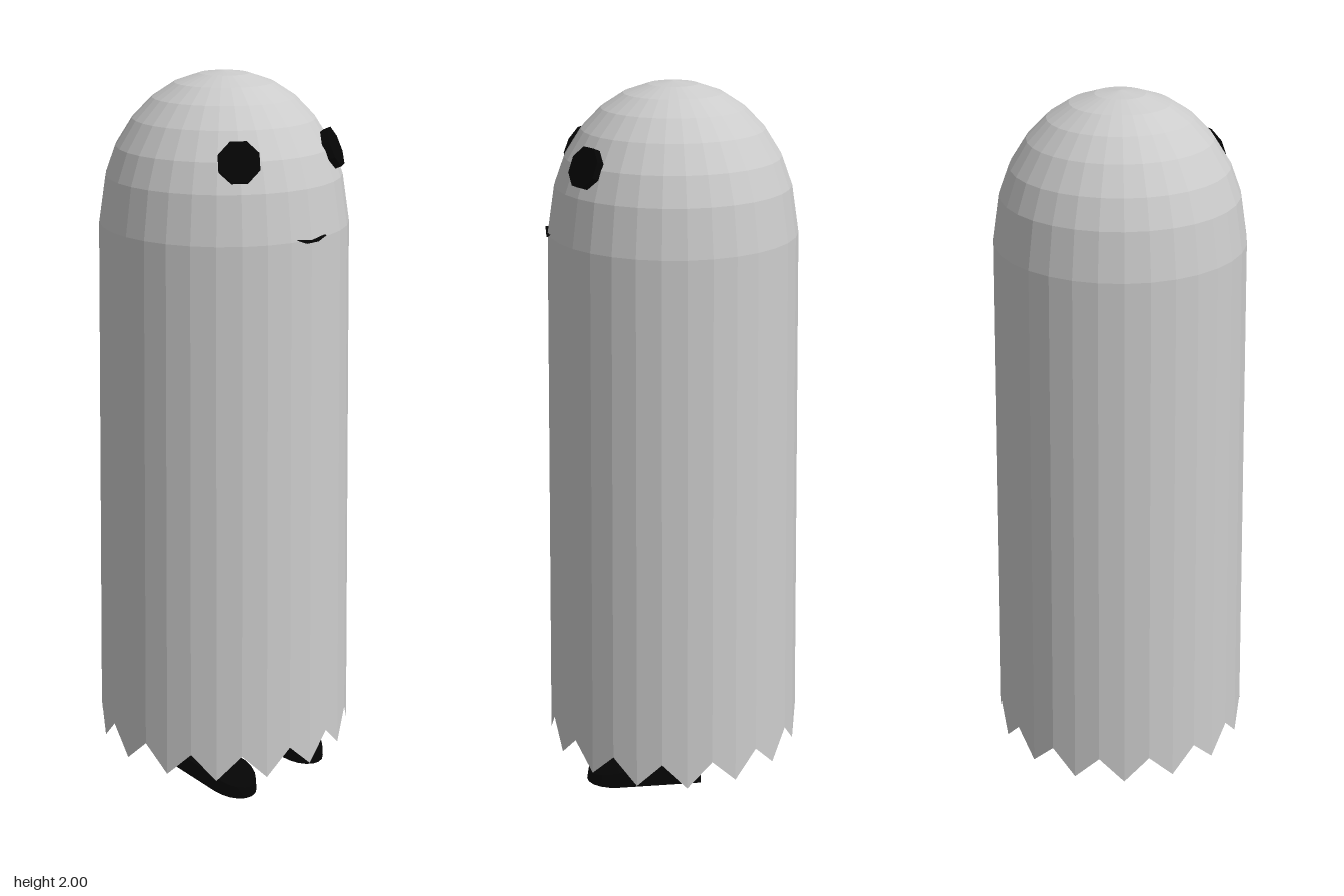
import * as THREE from 'three';

const SEGMENTS = 32;

export function createModel() {
  const model = new THREE.Group();
  model.name = 'sheetGhost';
  const grey = new THREE.MeshStandardMaterial({ color: 0xcccccc, flatShading: true, side: THREE.DoubleSide });
  const black = new THREE.MeshStandardMaterial({ color: 0x050505, flatShading: true });

  const add = (parent, name, geometry, material, x = 0, y = 0, z = 0) => {
    const mesh = new THREE.Mesh(geometry, material);
    mesh.name = name;
    mesh.position.set(x, y, z);
    parent.add(mesh);
    return mesh;
  };

  // Sheet: slightly flared tube under a stretched dome, open at the bottom
  const profile = [[0.367, 0.1], [0.333, 1.61], [0.313, 1.735], [0.285, 1.81], [0.24, 1.88],
    [0.188, 1.933], [0.13, 1.97], [0.065, 1.992], [0, 2]].map(([r, y]) => new THREE.Vector2(r, y));
  const sheet = new THREE.LatheGeometry(profile, SEGMENTS);

  // Zigzag hem: lift every other vertex of the bottom ring
  const p = sheet.attributes.position;
  for (let i = 1; i < SEGMENTS; i += 2) {
    const k = i * profile.length;
    const s = 0.3653 / 0.367;
    p.setXYZ(k, p.getX(k) * s, 0.175, p.getZ(k) * s);
  }
  add(model, 'sheet', sheet, grey);

  // Mouth: thin smile on the front
  const smile = new THREE.Shape([[-0.05, 0.015], [-0.02, 0.003], [0.02, 0.003], [0.05, 0.015], [0, 0.009]]
    .map(([x, y]) => new THREE.Vector2(x, y)));
  add(model, 'mouth', new THREE.ExtrudeGeometry(smile, { depth: 0.02, bevelEnabled: false }),
    black, 0, 1.6, 0.317);

  // Toe outline, seen from above: half an ellipse
  const toeShape = new THREE.Shape();
  toeShape.moveTo(-0.061, 0);
  toeShape.lineTo(0.061, 0);
  toeShape.absellipse(0, 0, 0.061, 0.09, 0, Math.PI, false);

  for (const [side, sign] of [['left', 1], ['right', -1]]) {
    // Eye: octagonal disc lying on the dome
    const eyeGeometry = new THREE.CylinderGeometry(0.055, 0.055, 0.02, 8);
    eyeGeometry.rotateY(Math.PI / 8).rotateX(Math.PI / 2);
    const eye = add(model, side + 'Eye', eyeGeometry, black, sign * 0.163, 1.81, 0.238);
    eye.rotation.set(-0.4, sign * 0.58, 0, 'YXZ');

    // Leg with a flat foot and a rounded toe that slopes down to the front
    const leg = new THREE.Group();
    leg.name = side + 'Leg';
    leg.position.x = sign * 0.135;
    model.add(leg);
    add(leg, 'shin', new THREE.BoxGeometry(0.122, 0.6, 0.122), black, 0, 0.3, 0);
    add(leg, 'foot', new THREE.BoxGeometry(0.122, 0.05, 0.12), black, 0, 0.025, 0.12);
    const toe = new THREE.ExtrudeGeometry(toeShape, { depth: 0.05, bevelEnabled: false, curveSegments: 5 });
    toe.rotateX(Math.PI / 2).translate(0, 0.05, 0);
    const t = toe.attributes.position;
    for (let i = 0; i < t.count; i++) {
      if (t.getY(i) > 0.04) t.setXYZ(i, t.getX(i), 0.05 - t.getZ(i) * 0.2, t.getZ(i) * 0.95);
    }
    add(leg, 'toe', toe, black, 0, 0, 0.18);
  }
  return model;
}
